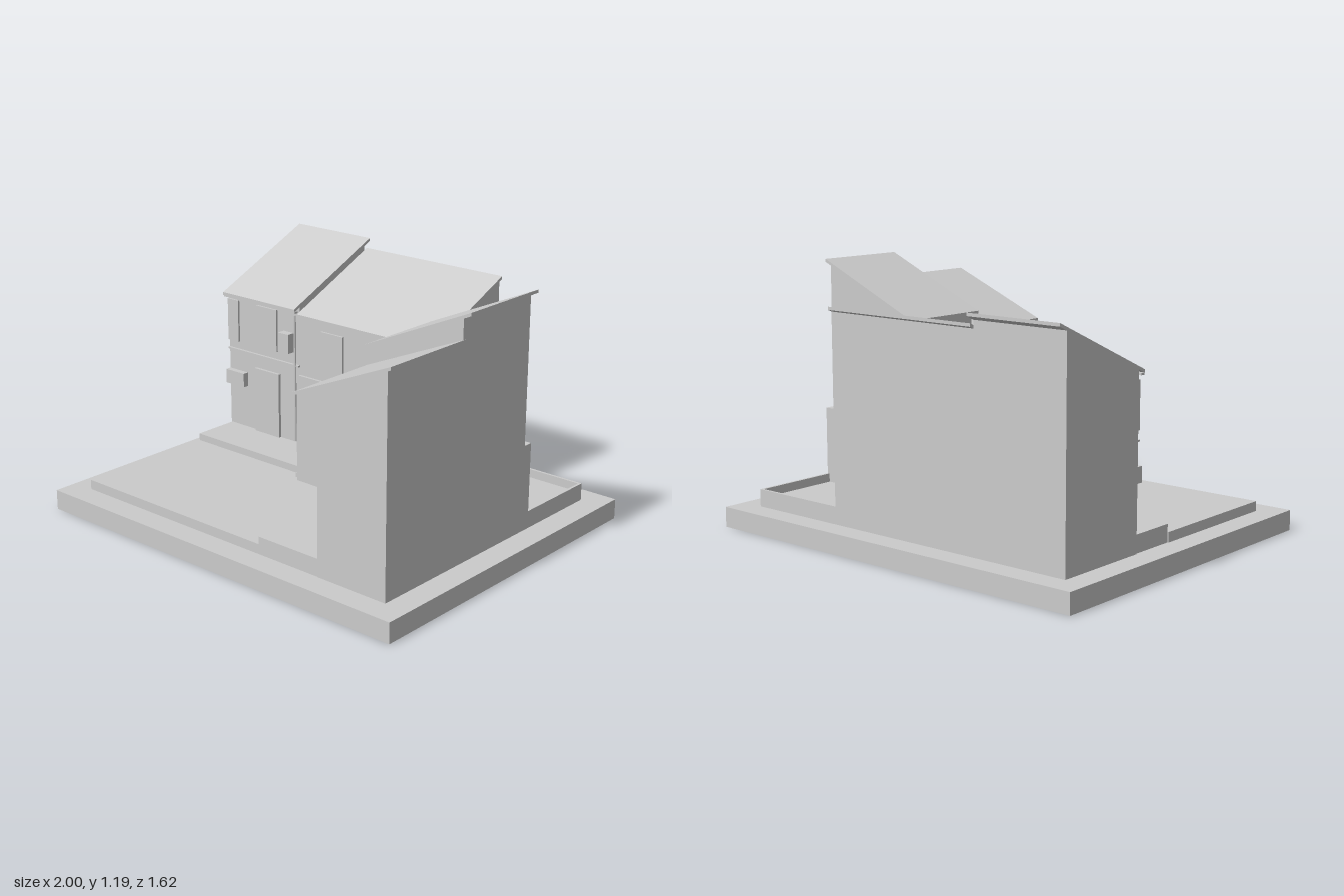
import * as THREE from 'three';

const mat = new THREE.MeshStandardMaterial({ color: 0xcccccc, flatShading: true });

export function createModel() {
  const group = new THREE.Group();

  const add = (name, geo) => {
    const m = new THREE.Mesh(geo, mat);
    m.name = name;
    group.add(m);
  };
  // Box given by its limits on each axis
  const box = (name, x0, x1, y0, y1, z0, z1) =>
    add(name, new THREE.BoxGeometry(x1 - x0, y1 - y0, z1 - z0)
      .translate((x0 + x1) / 2, (y0 + y1) / 2, (z0 + z1) / 2));
  const extrude = (pts, depth) => new THREE.ExtrudeGeometry(
    new THREE.Shape(pts.map(p => new THREE.Vector2(...p))), { depth, bevelEnabled: false });
  // Profile in (x, y), swept along z
  const alongZ = (name, pts, z0, z1) => add(name, extrude(pts, z1 - z0).translate(0, 0, z0));
  // Profile in (z, y), swept along x
  const alongX = (name, pts, x0, x1) => add(name,
    extrude(pts.map(([z, y]) => [-z, y]), x1 - x0).rotateY(Math.PI / 2).translate(x0, 0, 0));
  // Height of the line a-b at t
  const at = (a, b, t) => a[1] + (b[1] - a[1]) * (t - a[0]) / (b[0] - a[0]);
  const slab = (a, b, t) => [a, b, [b[0], b[1] - t], [a[0], a[1] - t]];

  // Ground
  box('base', -1, 1, 0, 0.094, -0.81, 0.81);
  box('road', -0.89, 0.19, 0.09, 0.14, 0, 0.695);
  box('backPavement', -0.885, 0.395, 0.09, 0.175, -0.695, 0);
  box('middlePavement', 0.395, 0.885, 0.09, 0.175, -0.26, 0);
  box('sidePavement', 0.19, 0.885, 0.09, 0.175, 0, 0.695);
  box('yardFloor', 0.39, 0.875, 0.09, 0.135, -0.695, -0.25);
  box('yardSideKerb', 0.873, 0.885, 0.09, 0.175, -0.7, -0.25);
  box('yardBackKerb', 0.39, 0.885, 0.09, 0.175, -0.7, -0.688);

  // Back row: single-pitch roofs rising to the rear
  const rearRow = [
    { name: 'tallRearHouse', x0: -0.89, x1: -0.42, low: [-0.19, 0.857], high: [-0.742, 1.102], band: [0.564, 0.572] },
    { name: 'longRearHouse', x0: -0.42, x1: 0.39, low: [-0.21, 0.83], high: [-0.72, 1.057], band: [0.507, 0.525] },
  ];
  for (const { name, x0, x1, low, high, band } of rearRow) {
    const t = 0.014, front = -0.23, back = -0.7;
    alongX(name + 'Walls', [[front, 0.09], [front, at(low, high, front) - t],
      [back, at(low, high, back) - t], [back, 0.09]], x0, x1);
    alongX(name + 'Roof', slab(low, high, t), x0, x1);
    box(name + 'Band', x0, x1, band[0], band[1], -0.232, -0.217);
    box(name + 'Gutter', x0, x1, low[1] - 0.022, low[1] - 0.012, low[0] - 0.024, low[0] - 0.004);
  }

  // Openings and fittings on the back row facade: x0, x1, y0, y1, projection
  const facade = {
    upperWindow: [[-0.89, -0.82, 0.61, 0.82, 0.01], [-0.70, -0.565, 0.61, 0.82, 0.01],
      [-0.28, -0.145, 0.585, 0.77, 0.01], [0.09, 0.23, 0.585, 0.77, 0.01]],
    lowerWindow: [[-0.08, 0.055, 0.31, 0.445, 0.01], [0.16, 0.30, 0.31, 0.445, 0.01]],
    door: [[-0.71, -0.55, 0.175, 0.50, 0.014], [-0.355, -0.195, 0.175, 0.48, 0.014]],
    wallUnit: [[-0.525, -0.46, 0.63, 0.725, 0.04], [-0.89, -0.77, 0.39, 0.46, 0.03]],
  };
  for (const [name, list] of Object.entries(facade))
    for (const [x0, x1, y0, y1, d] of list) box(name, x0, x1, y0, y1, -0.235, -0.23 + d);

  // Drain pipes
  const pipe = (x, z, y0, y1) => add('drainPipe',
    new THREE.CylinderGeometry(0.006, 0.006, y1 - y0, 8).translate(x, (y0 + y1) / 2, z));
  pipe(-0.443, -0.219, 0.185, 0.82);
  pipe(0.408, 0.215, 0.185, 0.85);

  // Side row: roofs rising to the outer wall, ground floors set back from the street
  const sideRow = [
    { name: 'frontSideHouse', z0: 0.23, z1: 0.697, low: [0.39, 0.864], high: [0.9, 1.08], ground: 0.523, win: [0.6, 0.78] },
    { name: 'rearSideHouse', z0: -0.23, z1: 0.23, low: [0.37, 0.948], high: [0.92, 1.192], ground: 0.45, win: [0.68, 0.87] },
  ];
  for (const { name, z0, z1, low, high, ground, win } of sideRow) {
    const t = 0.014, inner = 0.415, outer = 0.885;
    alongZ(name + 'Walls', [[ground, 0.09], [outer, 0.09], [outer, at(low, high, outer) - t],
      [inner, at(low, high, inner) - t], [inner, 0.493], [ground, 0.493]], z0, z1);
    alongZ(name + 'Roof', slab(low, high, t), z0, z1);
    box(name + 'Band', 0.408, 0.42, 0.505, 0.525, z0, z1);
    const mid = (z0 + z1) / 2;
    for (const s of [-1, 1]) {
      const c = mid + s * 0.115;
      box(name + 'UpperWindow', 0.406, 0.42, win[0], win[1], c - 0.06, c + 0.06);
    }
    box(name + 'Door', ground - 0.008, ground + 0.01, 0.175, 0.46, mid - 0.17, mid - 0.03);
    box(name + 'LowerWindow', ground - 0.008, ground + 0.01, 0.3, 0.44, mid + 0.04, mid + 0.17);
  }
  box('lowExtension', 0.415, 0.885, 0.09, 0.493, -0.277, -0.22);

  return group;
}
